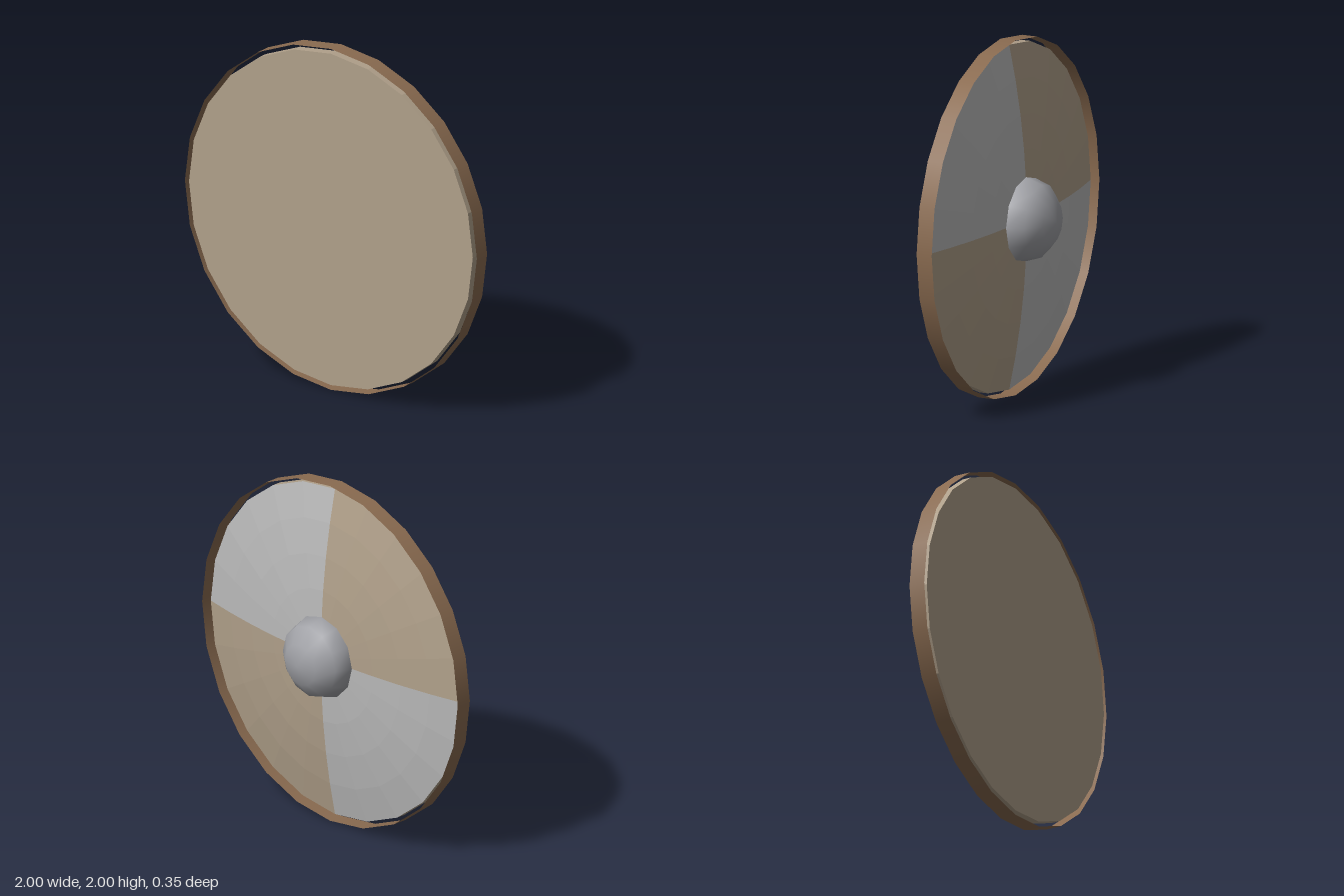
import * as THREE from 'three';

const SIDES = 24, FACE_R = 0.972, FRONT_Z = 0.175, DOME_EDGE_Z = 0.121, DOME_TOP_Z = 0.012;

function material(name, color, extra = {}) {
  const m = new THREE.MeshStandardMaterial({ color, ...extra });
  m.name = name;
  return m;
}

export function createModel() {
  const tan = material('tan wood', 0xb0a08a, { flatShading: true });
  const grey = material('pale grey paint', 0xb9b9b9, { flatShading: true });
  const steel = material('steel', 0xa0a1a6);
  const leather = material('brown leather', 0x8a6b50, { side: THREE.DoubleSide });

  const group = new THREE.Group();
  group.name = 'roundShield';

  // Geometries are made around y, then turned so that their top points to -z
  const add = (name, geometry, mat, z = 0) => {
    geometry.rotateX(-Math.PI / 2);
    const mesh = new THREE.Mesh(geometry, mat);
    mesh.name = name;
    mesh.position.set(0, 1, z);
    group.add(mesh);
  };

  // Thin open band around the edge
  const rimDepth = 0.093;
  add('rim', new THREE.CylinderGeometry(1, 1, rimDepth, SIDES, 1, true), leather, FRONT_Z - rimDepth / 2);

  // Flat board
  const boardDepth = FRONT_Z - DOME_EDGE_Z;
  add('board', new THREE.CylinderGeometry(FACE_R, FACE_R, boardDepth, SIDES), tan, FRONT_Z - boardDepth / 2);

  // Shallow dome in four quarters of alternating colour
  const profile = [];
  const rings = 5;
  for (let i = rings; i >= 0; i--) {
    const t = i / rings;
    profile.push(new THREE.Vector2(FACE_R * t, -DOME_TOP_Z - (DOME_EDGE_Z - DOME_TOP_Z) * t * t));
  }
  for (let q = 0; q < 4; q++) {
    const quarter = new THREE.LatheGeometry(profile, SIDES / 4, q * Math.PI / 2, Math.PI / 2);
    add('domeQuarter' + (q + 1), quarter, q % 2 ? tan : grey);
  }

  // Central boss
  const boss = new THREE.SphereGeometry(1, 12, 3, 0, Math.PI * 2, 0, Math.PI / 2);
  boss.scale(0.237, 0.192, 0.237);
  add('boss', boss, steel, 0.018);

  return group;
}
